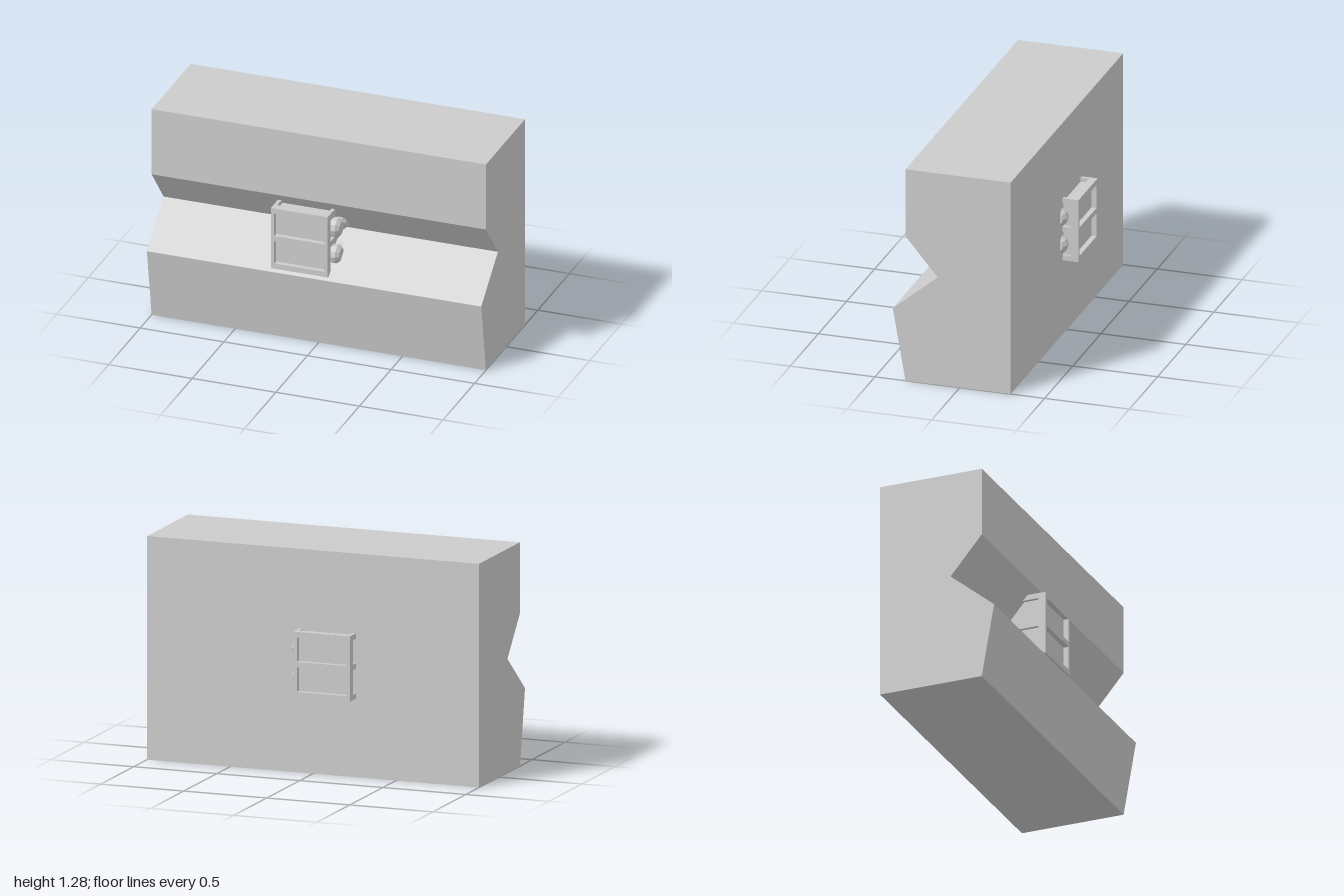
import * as THREE from 'three';

export function createModel() {
  const model = new THREE.Group();
  const material = new THREE.MeshStandardMaterial({ color: 0xcccccc, flatShading: true });

  const add = (parent, name, geometry, x = 0, y = 0, z = 0) => {
    const mesh = new THREE.Mesh(geometry, material);
    mesh.name = name;
    mesh.position.set(x, y, z);
    parent.add(mesh);
    return mesh;
  };

  // Long block with a V groove along its front, extruded along x
  const profile = [[0.32, 0], [0.395, 0.43], [0.13, 0.65], [0.32, 0.875], [0.32, 1.28], [-0.3, 1.28], [-0.3, 0]];
  const shape = new THREE.Shape(profile.map(([z, y]) => new THREE.Vector2(z, y)));
  const block = new THREE.ExtrudeGeometry(shape, { depth: 2, bevelEnabled: false });
  block.rotateY(-Math.PI / 2).translate(1, 0, 0);
  add(model, 'groovedBlock', block);

  // Crate passing through the block: recessed core inside a frame of posts and rails
  const crate = new THREE.Group();
  crate.name = 'crate';
  crate.position.set(-0.09, 0.6375, -0.0025);
  model.add(crate);
  const W = 0.34, H = 0.375, D = 0.785;
  const postX = 0.02, postZ = 0.045, rail = 0.032;
  add(crate, 'crateCore', new THREE.BoxGeometry(W - 0.036, H - 0.05, D - 0.06));
  for (const sx of [-1, 1]) {
    for (const sz of [-1, 1]) {
      add(crate, 'cornerPost', new THREE.BoxGeometry(postX, H, postZ),
        sx * (W - postX) / 2, 0, sz * (D - postZ) / 2);
    }
  }
  for (const level of [-1, 0, 1]) {
    const y = level * (H - rail) / 2;
    for (const side of [-1, 1]) {
      add(crate, 'sideRail', new THREE.BoxGeometry(postX, rail, D - 2 * postZ),
        side * (W - postX) / 2, y, 0);
      add(crate, 'endRail', new THREE.BoxGeometry(W - 2 * postX, rail, postZ),
        0, y, side * (D - postZ) / 2);
    }
  }

  // Two rows of faceted knobs on the crate's left side
  const knobProfile = [[0.045, 0.06], [0.056, 0.075], [0.056, 0.1], [0.037, 0.12], [0, 0.12]];
  const knob = new THREE.LatheGeometry(knobProfile.map(([r, h]) => new THREE.Vector2(r, h)), 10);
  knob.rotateZ(-Math.PI / 2);
  for (const y of [0.55, 0.715]) {
    for (let i = 0; i < 6; i++) add(model, 'knob', knob, 0, y, 0.28 - i * 0.112);
  }

  return model;
}
